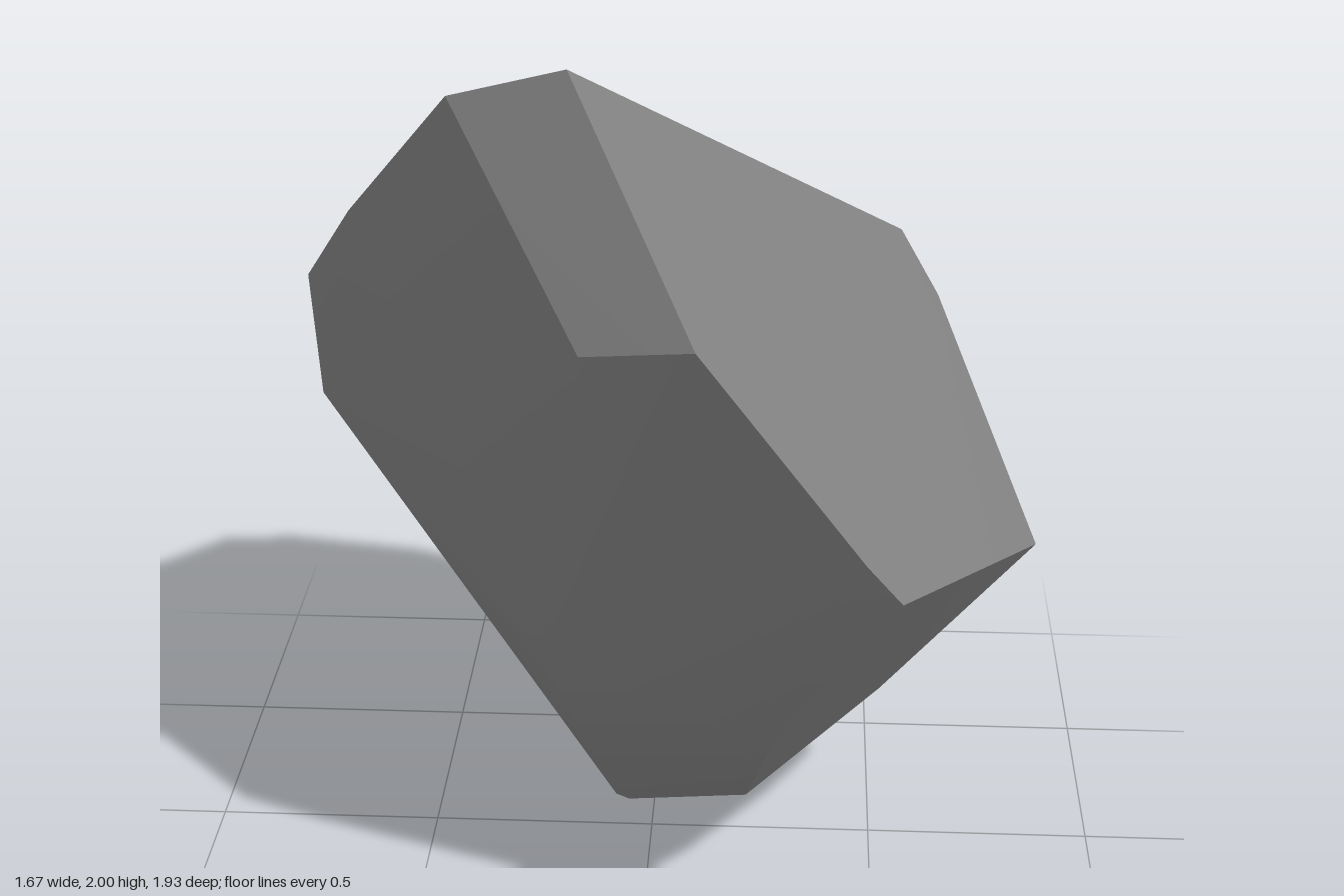
import * as THREE from 'three';
import { ConvexGeometry } from 'three/addons/geometries/ConvexGeometry.js';
import { toCreasedNormals } from 'three/addons/utils/BufferGeometryUtils.js';

export function createModel() {
  const group = new THREE.Group();
  group.name = 'rock';
  const stone = new THREE.MeshStandardMaterial({ color: 0x848484 });
  stone.name = 'grey stone';

  // Corners where the cleaved planes of the rock meet
  const corners = [
    // peak and its small front facet
    [-0.12, 2.0, 0.66], [-0.36, 1.91, 0.54], [-0.09, 1.51, 0.845], [0.13, 1.57, 0.965],
    // ridge down the left side to the foot
    [0.45, 1.13, 0.915], [0.52, 1.04, 0.89], [0.835, 0.8, 0.115], [0.51, 0.42, 0.085],
    [0.28, 0.56, 0.59], [0.22, 0.23, 0.24],
    // swelling of the front face
    [-0.19, 0.64, 0.435],
    // blunt foot
    [-0.06, 0, -0.11], [-0.09, 0.013, -0.11],
    // chipped rear left corner
    [0.54, 1.35, -0.345], [0.625, 1.21, -0.31], [0.52, 1.28, -0.44],
    // back edge and its blunt end
    [-0.16, 1.005, -0.81], [-0.6, 0.85, -0.965], [-0.76, 0.91, -0.9], [-0.775, 0.83, -0.86],
    [-0.62, 0.61, -0.87], [-0.48, 0.49, -0.77],
    // right side
    [-0.835, 0.8, -0.64], [-0.835, 1.15, -0.52], [-0.66, 1.46, -0.09],
  ].map((p) => new THREE.Vector3(...p));

  // Sort the triangles into the softly curved front and the cleaved rest
  const hull = new ConvexGeometry(corners);
  const position = hull.attributes.position, normal = hull.attributes.normal;
  const front = [], cleaved = [];
  for (let i = 0; i < position.count; i += 3) {
    const isFront = normal.getX(i) < 0 && normal.getY(i) < 0.05 && normal.getZ(i) > 0;
    for (let k = i; k < i + 3; k++) {
      (isFront ? front : cleaved).push(position.getX(k), position.getY(k), position.getZ(k));
    }
  }

  const addSurface = (name, points, creaseAngle) => {
    const geometry = new THREE.BufferGeometry();
    geometry.setAttribute('position', new THREE.Float32BufferAttribute(points, 3));
    const mesh = new THREE.Mesh(toCreasedNormals(geometry, creaseAngle), stone);
    mesh.name = name;
    group.add(mesh);
  };
  addSurface('smoothFront', front, 1.2);
  addSurface('cleavedSides', cleaved, 0.35);
  return group;
}
